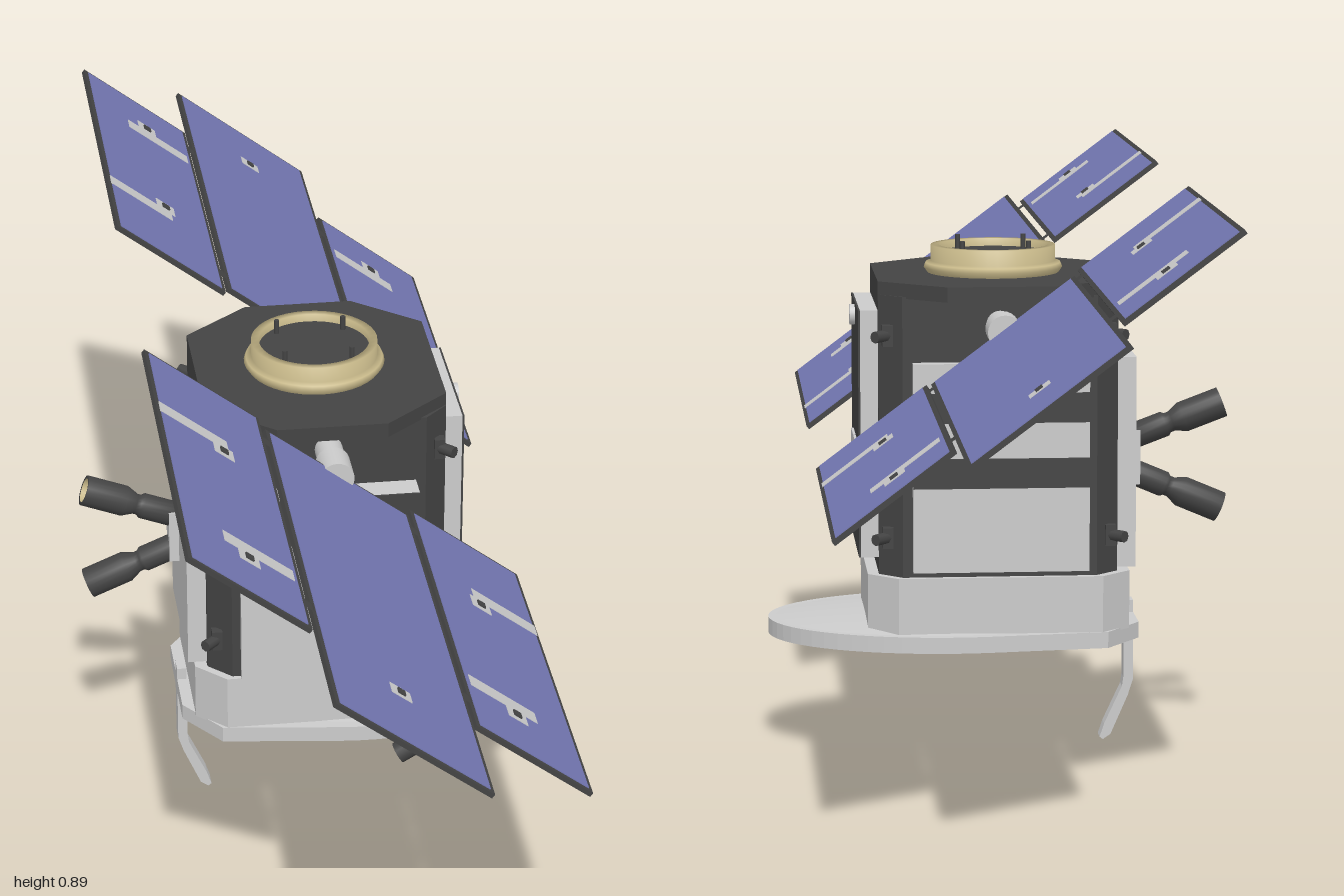
import * as THREE from 'three';

const mat = (color, opts = {}) => {
  const m = new THREE.MeshStandardMaterial({ color, ...opts });
  return m;
};
const LIGHT = mat(0xcccccc), DARK = mat(0x444444), TAN = mat(0xc8b98a), BLUE = mat(0x7478b4);
const DISH = mat(0xcccccc, { side: THREE.DoubleSide });
const TAN_OPEN = mat(0xc8b98a, { side: THREE.DoubleSide });
const DARK_OPEN = mat(0x444444, { side: THREE.DoubleSide });

function add(parent, name, geo, material) {
  const m = new THREE.Mesh(geo, material);
  m.name = name;
  parent.add(m);
  return m;
}

// Box given by its two extreme corners
function box(parent, name, x0, x1, y0, y1, z0, z1, material) {
  const m = add(parent, name, new THREE.BoxGeometry(x1 - x0, y1 - y0, z1 - z0), material);
  m.position.set((x0 + x1) / 2, (y0 + y1) / 2, (z0 + z1) / 2);
  return m;
}

// Upright prism from a plan outline of [x, z] points
function prism(parent, name, pts, y0, y1, material, hole) {
  const shape = new THREE.Shape(pts.map(([x, z]) => new THREE.Vector2(x, -z)));
  if (hole) shape.holes.push(hole);
  const geo = new THREE.ExtrudeGeometry(shape, { depth: y1 - y0, bevelEnabled: false, curveSegments: 32 });
  geo.rotateX(-Math.PI / 2).translate(0, y0, 0);
  return add(parent, name, geo, material);
}

// Rectangle plan with cut corners
const cutRect = (x0, x1, z0, z1, cx, cz) => [
  [x0 + cx, z0], [x1 - cx, z0], [x1, z0 + cz], [x1, z1 - cz],
  [x1 - cx, z1], [x0 + cx, z1], [x0, z1 - cz], [x0, z0 + cz]];

const lathe = (pts, n = 40) => new THREE.LatheGeometry(pts.map(p => new THREE.Vector2(...p)), n);

// Rod between two points
function rod(parent, name, a, b, r, material, n = 10) {
  const A = new THREE.Vector3(...a), d = new THREE.Vector3(...b).sub(A);
  const m = add(parent, name, new THREE.CylinderGeometry(r, r, d.length(), n), material);
  m.position.copy(A).addScaledVector(d, 0.5);
  m.quaternion.setFromUnitVectors(new THREE.Vector3(0, 1, 0), d.normalize());
  return m;
}

function solarWing(side) {
  const g = new THREE.Group();
  g.name = side > 0 ? 'frontSolarWing' : 'backSolarWing';
  const panel = (name, u0, u1, z0, z1) => {
    const [a, b] = side > 0 ? [z0, z1] : [-z1, -z0];
    box(g, name + 'Frame', u0, u1, -0.004, 0.003, a, b, DARK);
    box(g, name + 'Cells', u0 + 0.007, u1 - 0.007, 0.003, 0.0045, a + 0.007, b - 0.007, BLUE);
  };
  const patch = (name, u, z, w, d, h, material) =>
    box(g, name, u - w / 2, u + w / 2, 0.004, h, side * z - d / 2, side * z + d / 2, material);
  panel('middlePanel', -0.133, 0.135, 0.235, 1);
  patch('mountPatch', 0, 0.86, 0.035, 0.025, 0.0055, LIGHT);
  patch('mountStud', 0, 0.86, 0.012, 0.012, 0.008, DARK);
  for (const s of [-1, 1]) {
    const e = [s * 0.142, s * 0.35].sort((a, b) => a - b);
    panel('outerPanel', e[0], e[1], 0.21, 0.82);
    // Grey strips with a small stud beside each
    for (const [z, u] of [[0.385, s * 0.285], [0.69, s * 0.215]]) {
      patch('panelStrip', u, z, 0.12, 0.028, 0.0055, LIGHT);
      patch('studPatch', s * 0.235, z + 0.025, 0.035, 0.03, 0.0055, LIGHT);
      patch('panelStud', s * 0.235, z + 0.025, 0.013, 0.013, 0.008, DARK);
    }
    for (const z of [0.28, 0.75]) patch('panelHinge', s * 0.138, z, 0.016, 0.02, 0.003, DARK);
  }
  g.position.set(0.005, 0.677, 0);
  g.rotation.z = -Math.atan(0.752);
  return g;
}

// Telescope tube with a hollow flared end
function starTracker(angle, y) {
  const g = new THREE.Group();
  g.name = 'starTracker';
  add(g, 'trackerBody', lathe([[0, 0], [0.02, 0], [0.02, 0.055], [0.016, 0.06], [0.016, 0.067], [0.024, 0.085],
    [0.024, 0.15], [0.019, 0.15]], 20), DARK_OPEN);
  add(g, 'trackerBore', lathe([[0.019, 0.15], [0.016, 0.1], [0, 0.1]], 20), TAN_OPEN);
  g.position.set(-0.21, y, -0.02);
  g.rotation.z = Math.PI / 2 + angle;
  return g;
}

export function createModel() {
  const root = new THREE.Group();
  root.name = 'satellite';

  // Body, top deck and base
  prism(root, 'body', cutRect(-0.178, 0.188, -0.155, 0.157, 0.035, 0.035), 0.285, 0.72, DARK);
  prism(root, 'topDeck', cutRect(-0.178, 0.188, -0.205, 0.205, 0.1, 0.085), 0.717, 0.74, DARK);
  prism(root, 'base', cutRect(-0.197, 0.205, -0.165, 0.165, 0.045, 0.045), 0.2, 0.29, LIGHT);

  // Adapter ring on the deck
  const ring = add(root, 'adapterRing', lathe([[0.1, 0.738], [0.107, 0.748], [0.104, 0.755], [0.096, 0.758],
    [0.096, 0.782], [0.084, 0.782], [0.084, 0.76]]), TAN_OPEN);
  const lid = add(root, 'ringFloor', new THREE.CylinderGeometry(0.085, 0.085, 0.025, 40), DARK);
  ring.position.x = 0.004;
  lid.position.set(0.004, 0.7575, 0);
  for (let i = 0; i < 4; i++) {
    const a = Math.PI / 4 + i * Math.PI / 2, x = 0.004 + 0.072 * Math.cos(a), z = 0.072 * Math.sin(a);
    rod(root, 'ringPin', [x, 0.765, z], [x, 0.792, z], 0.004, DARK, 8);
  }

  // Side panel with windows and a round sensor (left)
  box(root, 'leftPanel', 0.185, 0.215, 0.315, 0.695, -0.115, 0.112, LIGHT);
  box(root, 'leftPanelFace', 0.215, 0.218, 0.315, 0.695, -0.115, 0.112, DARK);
  for (const z of [-0.09, -0.014]) box(root, 'window', 0.217, 0.222, 0.367, 0.49, z, z + 0.068, LIGHT);
  rod(root, 'roundSensor', [0.215, 0.675, 0], [0.226, 0.675, 0], 0.016, LIGHT, 20);

  // Front radiator with its shelf
  box(root, 'frontPanel', -0.13, 0.138, 0.29, 0.54, 0.15, 0.168, LIGHT);
  box(root, 'frontShelf', -0.13, 0.138, 0.545, 0.615, 0.15, 0.2, LIGHT);
  box(root, 'shelfFace', -0.13, 0.138, 0.54, 0.617, 0.2, 0.203, DARK);

  // Back radiator with two dark bands
  box(root, 'backPanel', -0.13, 0.138, 0.3, 0.62, -0.174, -0.15, LIGHT);
  for (const y of [0.43, 0.53]) box(root, 'backBand', -0.13, 0.138, y, y + 0.045, -0.18, -0.173, DARK);

  // Right panel with two star trackers
  box(root, 'rightPanel', -0.207, -0.175, 0.295, 0.62, -0.115, 0.115, LIGHT);
  box(root, 'trackerBracket', -0.222, -0.205, 0.41, 0.495, -0.04, 0, LIGHT);
  root.add(starTracker(-0.36, 0.482), starTracker(0.4, 0.428));

  // Corner fittings
  for (const x of [-0.165, 0.175]) for (const z of [-0.142, 0.142]) {
    const s = Math.sign(x), t = Math.sign(z);
    for (const y of [0.35, 0.66]) {
      rod(root, 'cornerClip', [x, y, z], [x + s * 0.02, y, z + t * 0.02], 0.009, DARK, 8);
      box(root, 'clipPlate', x - 0.008, x + 0.008, y - 0.016, y + 0.016, z - 0.008, z + 0.008, DARK);
    }
  }

  // Oval skirt with a shallow dish beneath and a domed top
  const outline = [[-0.215, 0.09], [-0.215, -0.09], [-0.16, -0.165]];
  for (let i = 0; i <= 36; i++) {
    const a = (-100 + i * 200 / 36) * Math.PI / 180;
    outline.push([0.07 + 0.285 * Math.cos(a), 0.19 * Math.sin(a)]);
  }
  outline.push([-0.16, 0.165]);
  const hole = new THREE.Path().absellipse(0.08, 0, 0.263, 0.174, 0, Math.PI * 2, true);
  prism(root, 'skirt', outline, 0.178, 0.203, LIGHT, hole);
  const oval = (name, pts) => {
    const m = add(root, name, lathe(pts, 48), DISH);
    m.scale.set(0.264, 1, 0.175);
    m.position.x = 0.08;
  };
  oval('dish', [[1, 0.179], [0.8, 0.186], [0.5, 0.192], [0, 0.195]]);
  oval('skirtDome', [[1, 0.203], [0.8, 0.207], [0.5, 0.211], [0, 0.213]]);

  // Bent strut under the right edge
  const strut = new THREE.Shape([[-0.215, 0.222], [-0.215, 0.095], [-0.207, 0.07], [-0.18, 0.008], [-0.168, 0],
    [-0.163, 0.004], [-0.17, 0.025], [-0.198, 0.085], [-0.2, 0.1], [-0.2, 0.222]].map(p => new THREE.Vector2(...p)));
  add(root, 'strut', new THREE.ExtrudeGeometry(strut, { depth: 0.028, bevelEnabled: false }).translate(0, 0, -0.014), LIGHT);

  // Small horn on a crossed bracket at the front
  rod(root, 'horn', [0.108, 0.16, 0.205], [0.175, 0.2, 0.205], 0.017, DARK, 16);
  for (const s of [-1, 1]) {
    rod(root, 'hornBracket', [0.15 - s * 0.013, 0.27, 0.165], [0.15 + s * 0.011, 0.195, 0.2], 0.005, LIGHT, 8);
  }
  rod(root, 'hornPivot', [0.15, 0.235, 0.16], [0.15, 0.235, 0.2], 0.013, DARK, 16);

  // Solar wings on their drive hubs
  for (const s of [-1, 1]) {
    root.add(solarWing(s));
    rod(root, 'wingHub', [0.005, 0.677, s * 0.15], [0.005, 0.677, s * 0.225], 0.021, LIGHT, 24);
    rod(root, 'hubCollar', [0.005, 0.677, s * 0.2], [0.005, 0.677, s * 0.252], 0.026, LIGHT, 24);
  }
  return root;
}
